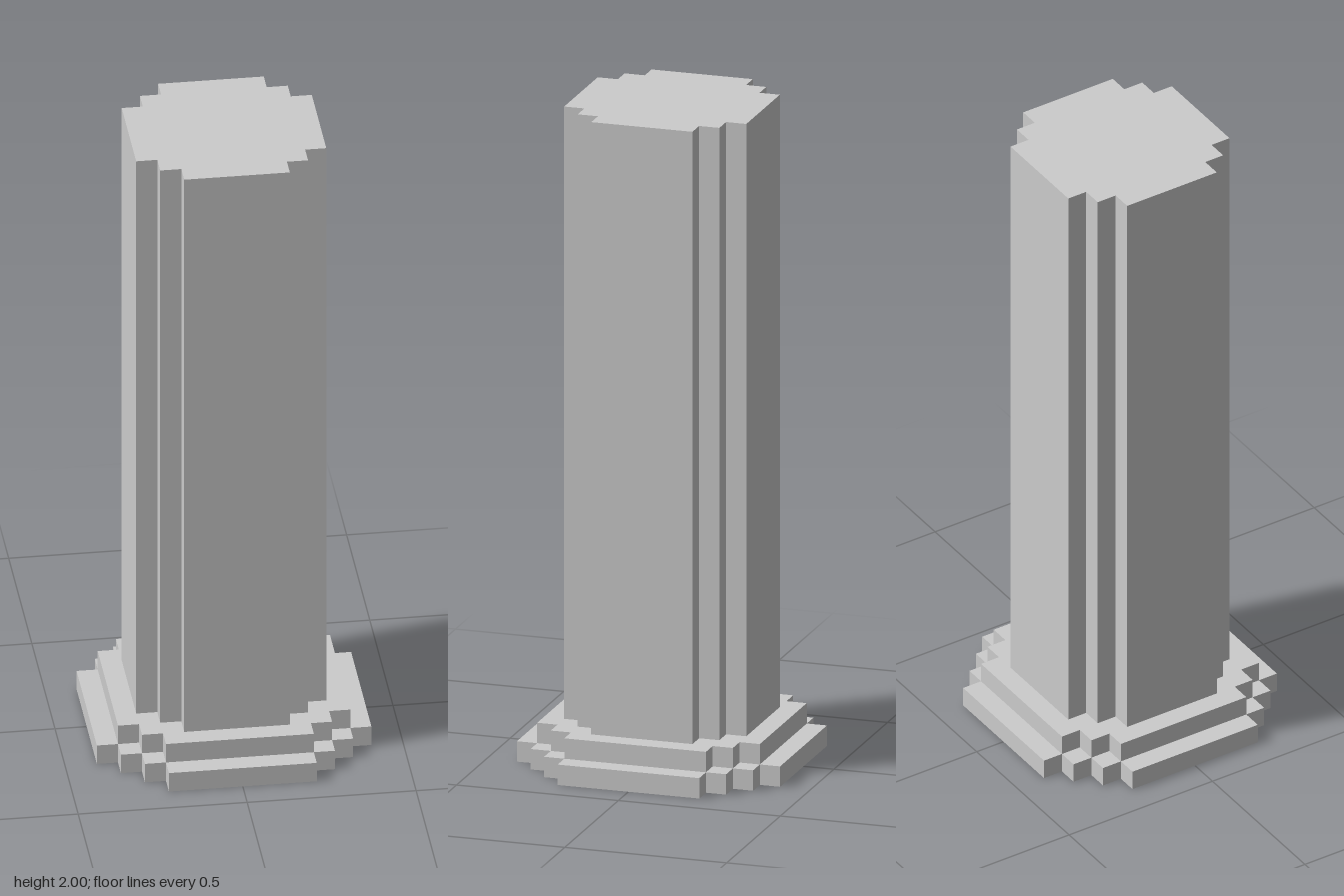
import * as THREE from 'three';

const U = 0.0625; // one block step

// Four-way symmetric stepped outline from the convex corners of one quadrant
function steppedShape(corners) {
  const quadrant = [];
  corners.forEach(([x, z], i) => {
    if (i > 0) quadrant.push([x, corners[i - 1][1]]);
    quadrant.push([x, z]);
  });
  const points = [];
  for (let q = 0; q < 4; q++) {
    for (let [x, y] of quadrant) {
      for (let k = 0; k < q; k++) [x, y] = [-y, x];
      points.push(new THREE.Vector2(x * U, y * U));
    }
  }
  return new THREE.Shape(points);
}

// Upright prism with a stepped outline
function tier(name, corners, bottom, top, material) {
  const geometry = new THREE.ExtrudeGeometry(steppedShape(corners), {
    depth: top - bottom,
    bevelEnabled: false,
  });
  geometry.rotateX(-Math.PI / 2);
  geometry.translate(0, bottom, 0);
  const mesh = new THREE.Mesh(geometry, material);
  mesh.name = name;
  return mesh;
}

export function createModel() {
  const group = new THREE.Group();
  group.name = 'column';
  const material = new THREE.MeshStandardMaterial({ color: 0xcccccc, flatShading: true });

  // Two base steps and the tall shaft
  group.add(
    tier('lowerBase', [[6.5, 3.5], [5.5, 4.5], [4.5, 5.5], [3.5, 6.5]], 0, U, material),
    tier('upperBase', [[5.5, 3.5], [4.5, 4.5], [3.5, 5.5]], U, 2 * U, material),
    tier('shaft', [[4.5, 2.5], [3.5, 3.5], [2.5, 4.5]], 2 * U, 2, material),
  );
  return group;
}
